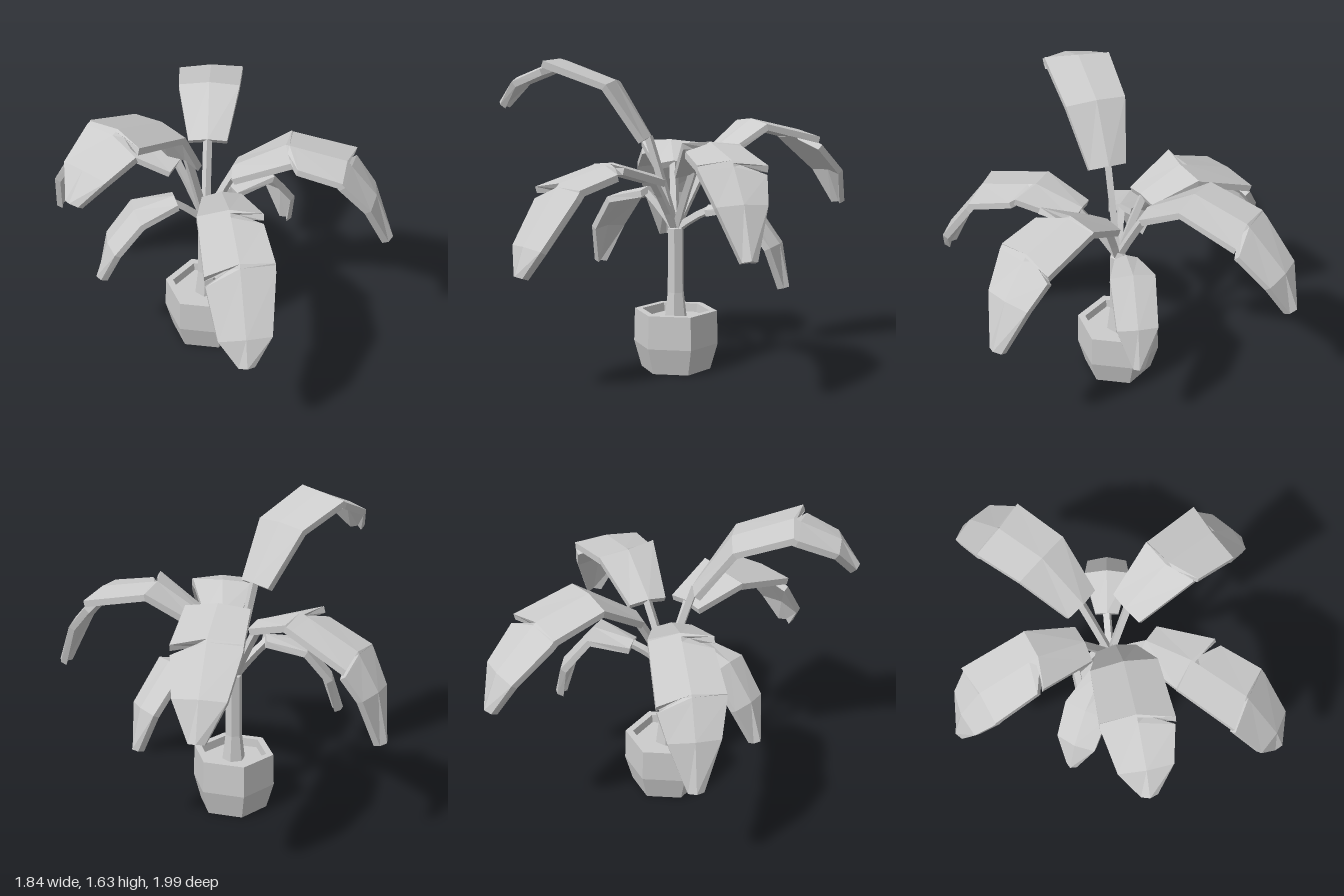
import * as THREE from 'three';

const material = new THREE.MeshStandardMaterial({ color: 0xcccccc, flatShading: true });
const THICK = 0.035, DROP = 0.02;
const CX = -0.055, CZ = 0.04; // axis of pot and trunk

// Half widths of a blade from stalk to tip
const LARGE = [0.1, 0.16, 0.172, 0.13, 0.04];
const SMALL = [0.06, 0.115, 0.105, 0.03];

function faceted(geometry, name) {
  const g = geometry.index ? geometry.toNonIndexed() : geometry;
  g.computeVertexNormals();
  const mesh = new THREE.Mesh(g, material);
  mesh.name = name;
  return mesh;
}

// Six-sided turned part around the plant's axis
function turned(profile, name, phi) {
  const points = profile.map(([r, y]) => new THREE.Vector2(r, y));
  const mesh = faceted(new THREE.LatheGeometry(points, 6, phi), name);
  mesh.position.set(CX, 0, CZ);
  return mesh;
}

// Rows across a leaf running straight in plan from one [x, z] to another and arching
// in height; a torn row is split into full edge, cut reaching inwards, full edge again
function leafRows({ from, to, reach, heights, widths, tears = {} }) {
  const at = i => new THREE.Vector3(
    THREE.MathUtils.lerp(from[0], to[0], reach[i]), heights[i], THREE.MathUtils.lerp(from[1], to[1], reach[i]));
  return widths.flatMap((w, i) => {
    const row = (t, torn, shift) => {
      const widthsBySide = { '1': w, '-1': w }, shifts = { '1': 0, '-1': 0 };
      if (tears[i]) {
        widthsBySide[tears[i]] *= torn;
        shifts[tears[i]] = shift;
      }
      const centre = t ? at(i).lerp(at(i + 1), t) : at(i);
      return { centre, widths: widthsBySide, shifts };
    };
    return tears[i] ? [row(0, 1, 0.04), row(0.06, 0.25, 0), row(0.15, 0.97, 0.04)] : [row(0, 1, 0)];
  });
}

// Thick, slightly keeled blade lofted through the rows
function bladeGeometry(rows) {
  const up = new THREE.Vector3(0, 1, 0);
  const rings = rows.map(({ centre, widths, shifts }, i) => {
    const before = rows[Math.max(i - 1, 0)].centre, after = rows[Math.min(i + 1, rows.length - 1)].centre;
    const along = after.clone().sub(before).normalize();
    const side = up.clone().cross(along).normalize();
    const normal = along.clone().cross(side);
    const edge = s => centre.clone().addScaledVector(side, s * widths[s])
      .addScaledVector(along, shifts[s]).addScaledVector(normal, -DROP);
    const top = [edge(1), centre, edge(-1)];
    const bottom = top.map(p => p.clone().addScaledVector(normal, -THICK)).reverse();
    return [...top, ...bottom];
  });
  const pos = [];
  const quad = (a, b, c, d) => [a, b, c, a, c, d].forEach(p => pos.push(p.x, p.y, p.z));
  for (let i = 0; i + 1 < rings.length; i++) {
    for (let j = 0; j < 6; j++) {
      const k = (j + 1) % 6;
      quad(rings[i][j], rings[i][k], rings[i + 1][k], rings[i + 1][j]);
    }
  }
  const a = rings[0], z = rings[rings.length - 1];
  quad(a[5], a[4], a[1], a[0]);
  quad(a[4], a[3], a[2], a[1]);
  quad(z[0], z[1], z[4], z[5]);
  quad(z[1], z[2], z[3], z[4]);
  const g = new THREE.BufferGeometry();
  g.setAttribute('position', new THREE.Float32BufferAttribute(pos, 3));
  return g;
}

// Four-sided stalk from the top of the trunk into the blade
function stalkGeometry(rows) {
  const end = rows[0].centre.clone().lerp(rows[1].centre, 0.08);
  end.y -= 0.025;
  const start = new THREE.Vector3(CX, 0.74, CZ);
  const bend = start.clone().lerp(end, 0.5);
  bend.y += 0.02;
  return new THREE.TubeGeometry(new THREE.QuadraticBezierCurve3(start, bend, end), 3, 0.024, 4);
}

function addLeaf(model, name, shape) {
  const rows = leafRows(shape);
  const leaf = new THREE.Group();
  leaf.name = name;
  leaf.add(faceted(stalkGeometry(rows), 'stalk'), faceted(bladeGeometry(rows), 'blade'));
  model.add(leaf);
}

export function createModel() {
  const model = new THREE.Group();
  model.name = 'pottedPlant';

  // Hexagonal pot with a sunken floor of soil
  model.add(turned([[0, 0], [0.185, 0], [0.225, 0.14], [0.22, 0.315], [0.18, 0.315], [0.175, 0.27]], 'pot', Math.PI / 2));
  model.add(turned([[0.178, 0.27], [0, 0.27]], 'soil', Math.PI / 2));

  // Trunk, flared at the foot
  model.add(turned([[0.062, 0.27], [0.045, 0.41], [0.043, 0.75], [0, 0.77]], 'trunk', 0));

  // Five large torn leaves
  addLeaf(model, 'tallFrontLeaf', { from: [-0.12, 0.15], to: [-0.55, 0.85], widths: LARGE, tears: { 2: 1 },
    reach: [0, 0.23, 0.59, 0.88, 1], heights: [1.23, 1.52, 1.63, 1.53, 1.4] });
  addLeaf(model, 'backLeaf', { from: [-0.07, -0.14], to: [-0.17, -1], widths: LARGE, tears: { 2: -1 },
    reach: [0, 0.31, 0.65, 0.91, 1], heights: [1.13, 1.31, 1.24, 1.03, 0.84] });
  addLeaf(model, 'leftLeaf', { from: [0.08, 0], to: [0.92, 0.03], widths: LARGE, tears: { 1: -1, 2: 1 },
    reach: [0, 0.32, 0.69, 0.88, 1], heights: [1.08, 1.24, 1.18, 0.99, 0.74] });
  addLeaf(model, 'frontLeaf', { from: [0.05, 0.19], to: [0.29, 0.99], widths: LARGE, tears: { 1: 1, 2: -1 },
    reach: [0, 0.31, 0.69, 0.94, 1], heights: [1.05, 1.13, 1.05, 0.76, 0.62] });
  addLeaf(model, 'rightLeaf', { from: [-0.19, 0], to: [-0.92, -0.22], widths: LARGE, tears: { 1: 1, 2: -1 },
    reach: [0, 0.33, 0.76, 0.92, 1], heights: [1.09, 1.18, 1.04, 0.85, 0.59] });

  // Two small whole leaves
  addLeaf(model, 'smallBackLeaf', { from: [0.05, -0.1], to: [0.35, -0.43], widths: SMALL,
    reach: [0, 0.5, 0.88, 1], heights: [0.88, 0.92, 0.7, 0.48] });
  addLeaf(model, 'smallFrontLeaf', { from: [-0.2, 0.14], to: [-0.59, 0.31], widths: SMALL,
    reach: [0, 0.5, 0.84, 1], heights: [0.96, 0.91, 0.73, 0.52] });

  return model;
}
